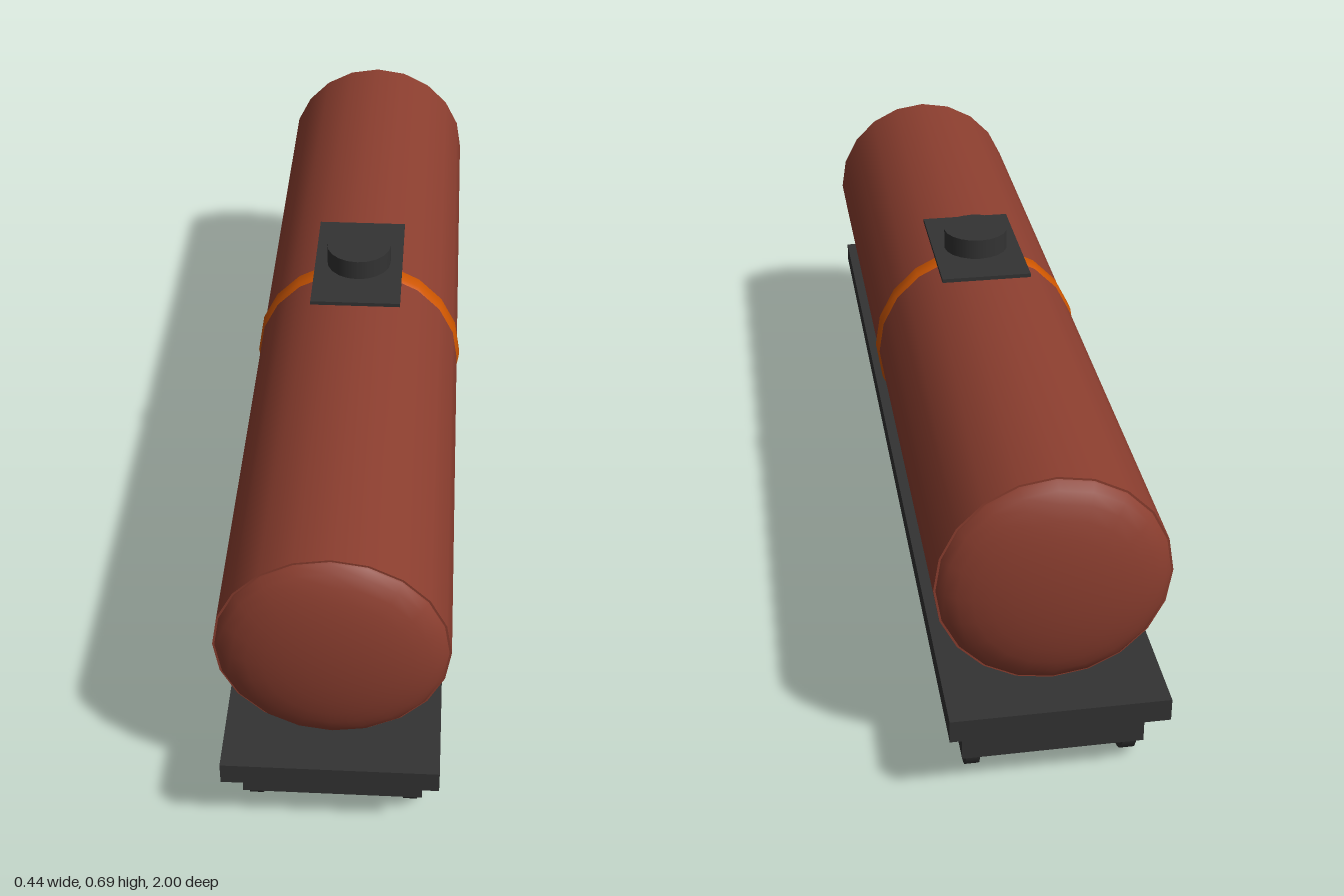
import * as THREE from 'three';

export function createModel() {
  const model = new THREE.Group();
  model.name = 'tankWagon';

  const material = (name, color) => {
    const m = new THREE.MeshStandardMaterial({ color });
    m.name = name;
    return m;
  };
  const red = material('rustRed', 0x8b3e2f);
  const dark = material('darkGrey', 0x333333);
  const orange = material('orange', 0xcc5500);

  const add = (name, geometry, mat, x = 0, y = 0, z = 0, parent = model) => {
    const mesh = new THREE.Mesh(geometry, mat);
    mesh.name = name;
    mesh.position.set(x, y, z);
    parent.add(mesh);
    return mesh;
  };

  const AXIS_Y = 0.417, R = 0.214, SIDES = 20;

  // Deck
  add('deck', new THREE.BoxGeometry(0.4, 0.045, 2), dark, 0, 0.1795, 0);

  // Tank barrel, with flattened domes on both ends
  const barrel = new THREE.CylinderGeometry(R, R, 1.81, SIDES);
  barrel.rotateZ(Math.PI / 2).rotateY(Math.PI / 2);
  add('tankBarrel', barrel, red, 0, AXIS_Y, 0);
  for (const s of [1, -1]) {
    const cap = new THREE.SphereGeometry(R - 0.001, SIDES, 8, 0, Math.PI * 2, 0, Math.PI / 2);
    cap.rotateX(s * Math.PI / 2).scale(1, 1, 0.07 / R);
    add(s > 0 ? 'frontTankEnd' : 'rearTankEnd', cap, red, 0, AXIS_Y, s * 0.895);
  }

  // Bevelled band around the middle
  const profile = [[0.211, -0.027], [0.2185, -0.014], [0.2185, 0.014], [0.211, 0.027]]
    .map(([r, h]) => new THREE.Vector2(r, h));
  const band = new THREE.LatheGeometry(profile, SIDES);
  band.rotateX(Math.PI / 2);
  add('tankBand', band, orange, 0, AXIS_Y, 0);

  // Hatch and its walkway plate
  add('hatch', new THREE.CylinderGeometry(0.067, 0.067, 0.077, 20), dark, 0, 0.6485, 0);
  add('hatchPlatform', new THREE.BoxGeometry(0.184, 0.008, 0.306), dark, 0, 0.641, 0);

  // Two bogies with four wheels each
  const wheel = new THREE.CylinderGeometry(0.063, 0.063, 0.026, 20);
  wheel.rotateZ(Math.PI / 2);
  const frame = new THREE.BoxGeometry(0.338, 0.054, 0.398);
  for (const s of [1, -1]) {
    const bogie = new THREE.Group();
    bogie.name = s > 0 ? 'frontBogie' : 'rearBogie';
    bogie.position.z = s * 0.738;
    model.add(bogie);
    add('bogieFrame', frame, dark, 0, 0.087, 0, bogie);
    for (const x of [-0.1465, 0.1465])
      for (const z of [-0.123, 0.123]) add('wheel', wheel, dark, x, 0.063, z, bogie);
  }
  return model;
}
